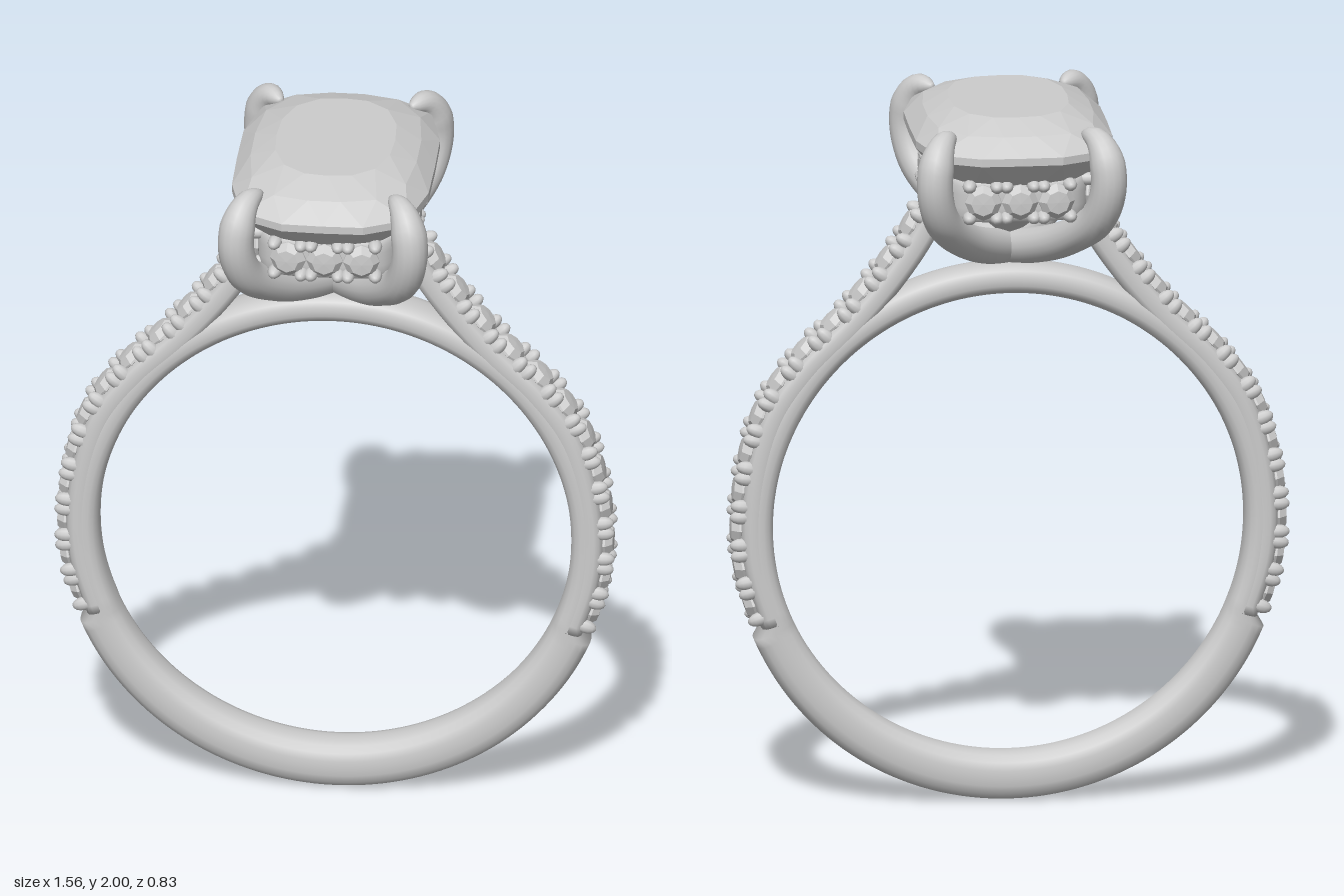
import * as THREE from 'three';
import { mergeGeometries } from 'three/addons/utils/BufferGeometryUtils.js';

const V = (x, y, z) => new THREE.Vector3(x, y, z);
const silver = new THREE.MeshStandardMaterial({ color: 0xcccccc });
silver.name = 'silver';

// Point on a unit superellipse: n = 2 is a circle, higher n is squarer
function cushion(a, n) {
  const c = Math.cos(a), s = Math.sin(a);
  const k = Math.pow(Math.abs(c) ** n + Math.abs(s) ** n, -1 / n);
  return [c * k, s * k];
}

// Skin over a list of rings, either looped or capped at both ends
function loft(rings, loop, flat) {
  const m = rings[0].length, count = rings.length, pos = [], index = [];
  rings.forEach(r => r.forEach(p => pos.push(p.x, p.y, p.z)));
  for (let i = 0; i < (loop ? count : count - 1); i++) {
    for (let j = 0; j < m; j++) {
      const k = (j + 1) % m, i2 = (i + 1) % count;
      const a = i * m + j, b = i * m + k, c = i2 * m + k, d = i2 * m + j;
      index.push(a, b, d, b, c, d);
    }
  }
  if (!loop) {
    [0, count - 1].forEach((r, end) => {
      const mid = V(0, 0, 0);
      rings[r].forEach(p => mid.addScaledVector(p, 1 / m));
      const id = pos.length / 3;
      pos.push(mid.x, mid.y, mid.z);
      for (let j = 0; j < m; j++) {
        const a = r * m + j, b = r * m + (j + 1) % m;
        if (end) index.push(id, a, b); else index.push(id, b, a);
      }
    });
  }
  let g = new THREE.BufferGeometry();
  g.setAttribute('position', new THREE.Float32BufferAttribute(pos, 3));
  g.setIndex(index);
  if (flat) g = g.toNonIndexed();
  g.computeVertexNormals();
  return g;
}

// Cross-section at p, across travel direction t; h is the half size along u, w across it
function section(p, t, u, h, w, n, sides = 20) {
  const v = t.clone().cross(u), ring = [];
  for (let j = 0; j < sides; j++) {
    const [c, s] = cushion(j / sides * Math.PI * 2, n);
    ring.push(p.clone().addScaledVector(u, c * h).addScaledVector(v, s * w));
  }
  return ring;
}

function add(group, name, geometry) {
  const mesh = new THREE.Mesh(geometry, silver);
  mesh.name = name;
  group.add(mesh);
}

// Small round stone, girdle just below local y = 0
const stone = new THREE.LatheGeometry(
  [[0, -0.06], [0.051, -0.03], [0.051, -0.024], [0.033, -0.004], [0, -0.002]]
    .map(p => new THREE.Vector2(...p)), 8).toNonIndexed();
stone.computeVertexNormals();
const bead = new THREE.SphereGeometry(1, 10, 8).scale(0.02, 0.034, 0.019);

// Set stones with four claw beads each; a seat is { p, t, n }
function pave(group, name, seats, pitch) {
  const gems = [], claws = [];
  for (const { p, t, n } of seats) {
    const frame = new THREE.Matrix4().makeBasis(t, n, t.clone().cross(n)).setPosition(p);
    gems.push(stone.clone().applyMatrix4(frame));
    for (const a of [-1, 1]) for (const b of [-1, 1]) {
      claws.push(bead.clone().translate(a * (pitch / 2 - 0.017), -0.031, b * 0.045).applyMatrix4(frame));
    }
  }
  add(group, name + 'Stones', mergeGeometries(gems));
  add(group, name + 'Beads', mergeGeometries(claws));
}

function buildBand(group) {
  // Round hoop, thick below and slimmer beneath the set shoulders
  const rings = [], N = 180, inner = 0.655;
  for (let i = 0; i < N; i++) {
    const a = i / N * Math.PI * 2, c = Math.cos(a), s = Math.sin(a);
    const thick = s < -0.38 ? 0.12 + 0.015 * (-s - 0.38) / 0.62 : 0.085;
    const u = V(c, s, 0);
    const p = u.clone().multiplyScalar(inner + thick / 2).add(V(0, 0.79, 0));
    rings.push(section(p, V(-s, c, 0), u, thick / 2, 0.065, 3));
  }
  add(group, 'band', loft(rings, true));
}

function buildShoulder(group, side) {
  // Tapering strut that leaves the hoop and rises to the head
  const curve = new THREE.CatmullRomCurve3([
    [0.715, 0.5], [0.763, 0.66], [0.775, 0.8], [0.755, 0.98], [0.7, 1.15], [0.6, 1.29],
    [0.48, 1.41], [0.37, 1.54], [0.29, 1.66], [0.245, 1.76],
  ].map(([x, y]) => V(x * side, y, 0)));
  const at = f => {
    const t = curve.getTangentAt(f);
    return { p: curve.getPointAt(f), t, n: V(t.y * side, -t.x * side, 0) };
  };
  const rings = [];
  for (let i = 0; i <= 60; i++) {
    const { p, t, n } = at(i / 60);
    rings.push(section(p.addScaledVector(n, -0.063), t, n, 0.035, 0.065, 4));
  }
  const name = side > 0 ? 'leftShoulder' : 'rightShoulder';
  add(group, name, loft(rings, false));
  const length = curve.getLength(), pitch = 0.1136, seats = [];
  for (let i = 0; i < 12; i++) seats.push(at((0.07 + pitch * i) / length));
  pave(group, name, seats, pitch);
}

function buildCentreStone(group) {
  // Cushion cut; half-step twists between rings make triangular facets
  const N = 16, levels = [ // y, scale, squareness, twist
    [1.6, 0.02, 2, 0], [1.7, 0.42, 2.5, 0.5], [1.81, 0.76, 3, 1], [1.9, 1, 4, 1.5],
    [1.922, 1, 4, 1.5], [1.968, 0.84, 3.2, 2], [2, 0.6, 2.6, 2.5],
  ];
  const rings = levels.map(([y, k, n, twist]) => Array.from({ length: N }, (_, j) => {
    const [c, s] = cushion((j + twist - 0.5) / N * Math.PI * 2, n);
    return V(c * k * 0.275, y, -s * k * 0.39);
  }));
  add(group, 'centreStone', loft(rings, false, true));
}

function buildHalo(group) {
  // Rail under the centre stone, set with stones between the claws
  const rx = 0.24, rz = 0.345, n = 4, y = 1.78, rings = [];
  const normal = (x, z) => V(Math.sign(x) * Math.abs(x / rx) ** (n - 1) / rx, 0,
    Math.sign(z) * Math.abs(z / rz) ** (n - 1) / rz).normalize();
  const up = V(0, 1, 0);
  for (let i = 0; i < 64; i++) {
    const [c, s] = cushion(i / 64 * Math.PI * 2, n);
    const u = normal(c * rx, s * rz);
    const p = V(c * rx, y, s * rz).addScaledVector(u, -0.053);
    rings.push(section(p, u.clone().cross(up), u, 0.025, 0.06, 5));
  }
  add(group, 'haloRail', loft(rings, true));
  const seats = [];
  const seat = (x, z) => {
    const out = normal(x, z);
    seats.push({ p: V(x, y, z), t: up.clone().cross(out), n: out });
  };
  for (const sgn of [-1, 1]) {
    for (let i = -2; i <= 2; i++) seat(sgn * rx * (1 - Math.abs(i * 0.11 / rz) ** n) ** (1 / n), i * 0.11);
    for (let i = -1; i <= 1; i++) seat(i * 0.105, sgn * rz * (1 - Math.abs(i * 0.105 / rx) ** n) ** (1 / n));
  }
  pave(group, 'halo', seats, 0.11);
}

function buildClaw(group, sx, sz) {
  // Claw from the stone's corner, bulging out and down to the middle of the hoop
  const curve = new THREE.CatmullRomCurve3([
    [0.78, 1.962], [0.92, 1.953], [1.01, 1.91], [1.04, 1.83], [0.94, 1.735],
    [0.62, 1.65], [0.25, 1.597], [-0.04, 1.575],
  ].map(([k, y]) => V(sx * 0.232 * k, y, sz * 0.352 * k)));
  const across = V(sz * 0.352, 0, -sx * 0.232).normalize();
  const rings = [], N = 44;
  for (let i = 0; i <= N; i++) {
    const r = 0.05 * Math.sqrt(Math.min(1, i / 8 + 0.03));
    rings.push(section(curve.getPointAt(i / N), curve.getTangentAt(i / N), across, r, r, 2, 16));
  }
  add(group, 'claw', loft(rings, false));
}

export function createModel() {
  const ring = new THREE.Group();
  ring.name = 'ring';
  buildBand(ring);
  const head = new THREE.Group();
  head.name = 'head';
  buildCentreStone(head);
  buildHalo(head);
  for (const sx of [-1, 1]) {
    buildShoulder(ring, sx);
    for (const sz of [-1, 1]) buildClaw(head, sx, sz);
  }
  ring.add(head);
  return ring;
}
